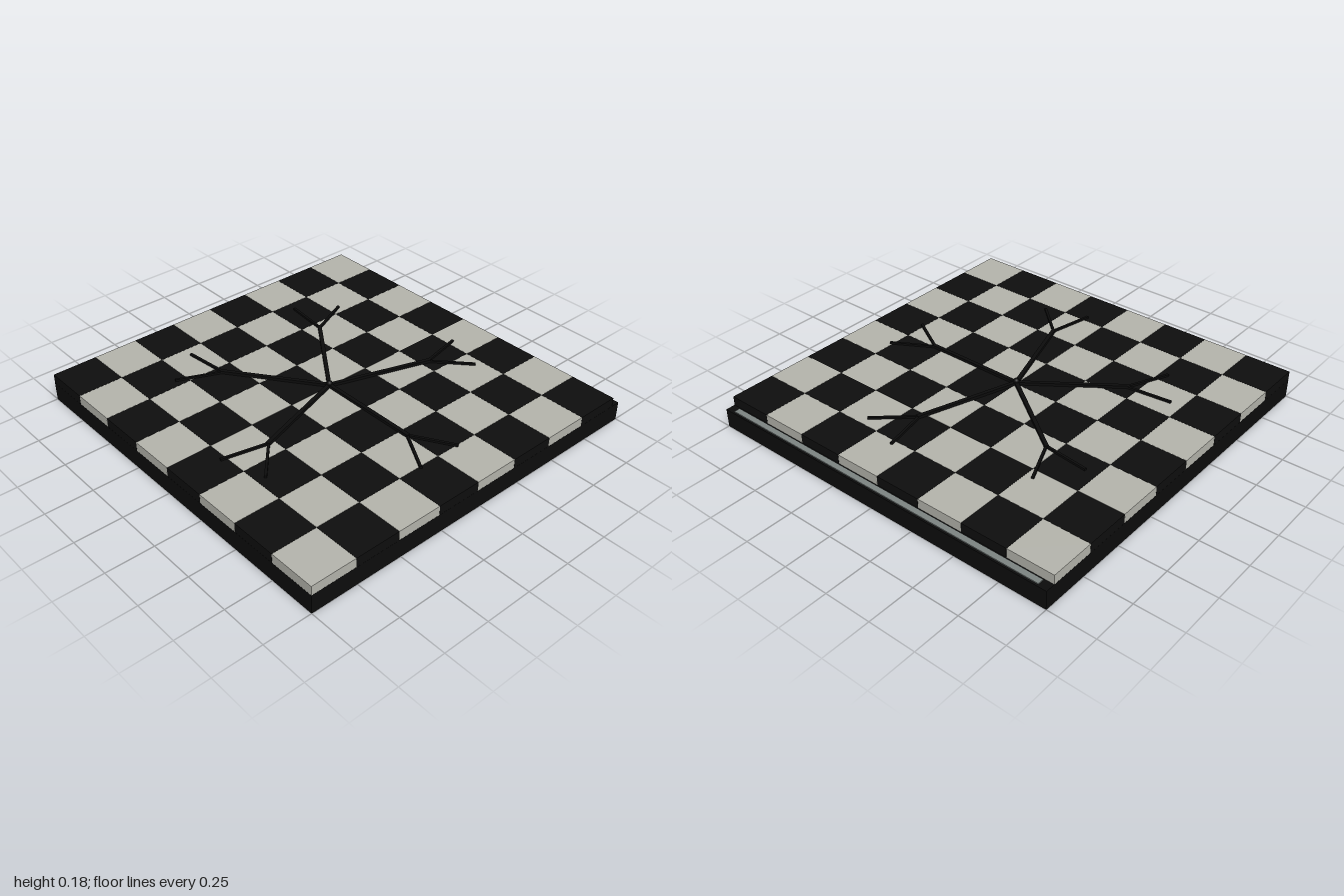
import * as THREE from 'three';

const paint = (name, color) => {
  const m = new THREE.MeshStandardMaterial({ color });
  m.name = name;
  return m;
};

export function createModel() {
  const black = paint('black', 0x0c0c0c);
  const darkTile = paint('dark tile', 0x0e0e0e);
  const lightTile = paint('light tile', 0xb4b4ac);
  const grey = paint('grey strip', 0x7c8482);

  const model = new THREE.Group();
  model.name = 'checkeredFloor';

  const add = (name, geometry, material, x, y, z, parent = model) => {
    const mesh = new THREE.Mesh(geometry, material);
    mesh.name = name;
    mesh.position.set(x, y, z);
    parent.add(mesh);
    return mesh;
  };

  // Base slab and the thin strip along its back edge
  add('base', new THREE.BoxGeometry(2, 0.1, 2), black, 0, 0.05, 0);
  add('backStrip', new THREE.BoxGeometry(1.9, 0.006, 0.032), grey, 0, 0.102, -0.974);

  // Eight by eight raised tiles
  const tiles = new THREE.Group();
  tiles.name = 'tiles';
  model.add(tiles);
  const pitchX = 0.25, backZ = -0.95, pitchZ = (1 - backZ) / 8;
  const tileGeometry = new THREE.BoxGeometry(pitchX - 0.001, 0.05, pitchZ - 0.001);
  for (let row = 0; row < 8; row++) {
    for (let col = 0; col < 8; col++) {
      const light = (row + col) % 2 === 0;
      add(light ? 'lightTile' : 'darkTile', tileGeometry, light ? lightTile : darkTile,
        -1 + (col + 0.5) * pitchX, 0.125, backZ + (row + 0.5) * pitchZ, tiles);
    }
  }

  // Five forked cracks spreading from the centre
  const cracks = new THREE.Group();
  cracks.name = 'cracks';
  cracks.position.set(0, 0.15, (backZ + 1) / 2);
  model.add(cracks);
  const bar = (name, x, z, angle, length, width, height) => {
    const mesh = add(name, new THREE.BoxGeometry(length, height, width), black,
      x + Math.cos(angle) * length / 2, height / 2, z - Math.sin(angle) * length / 2, cracks);
    mesh.rotation.y = angle;
  };
  const reach = 0.55;
  for (let i = 0; i < 5; i++) {
    const angle = i * Math.PI * 2 / 5;
    bar('crackArm', 0, 0, angle, reach + 0.01, 0.02, 0.015);
    for (const side of [-1, 1]) {
      bar('crackBranch', Math.cos(angle) * reach, -Math.sin(angle) * reach,
        angle + side * Math.PI / 6, 0.245, 0.013, 0.011);
    }
  }
  add('centreKnob', new THREE.SphereGeometry(0.016, 16, 12), black, 0, 0.018, 0, cracks);

  return model;
}
